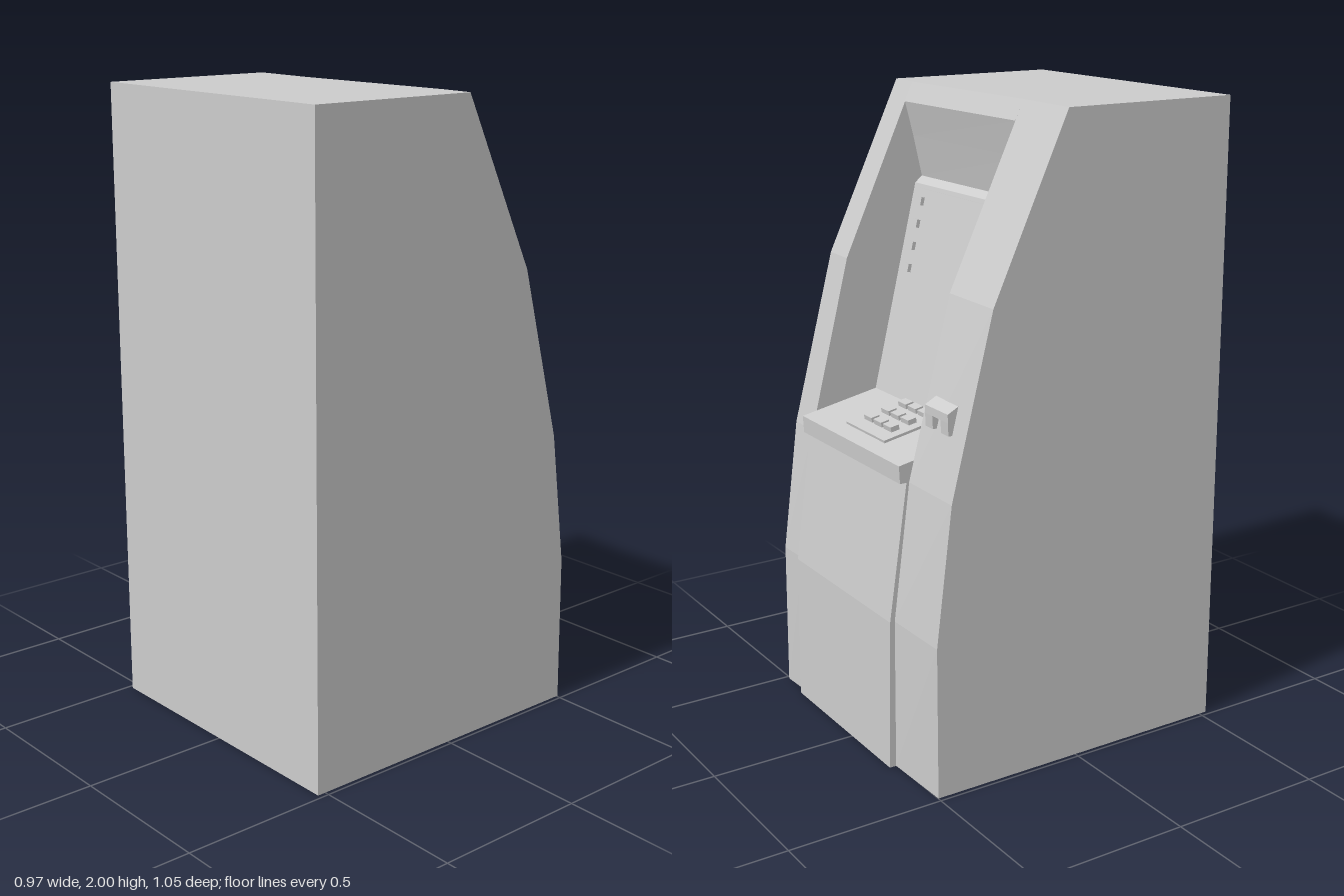
import * as THREE from 'three';

const grey = new THREE.MeshStandardMaterial({ color: 0xcccccc, flatShading: true });

function add(parent, name, geometry, x = 0, y = 0, z = 0) {
  const mesh = new THREE.Mesh(geometry, grey);
  mesh.name = name;
  mesh.position.set(x, y, z);
  parent.add(mesh);
  return mesh;
}

// Extrudes a [z, y] side profile between two x positions.
// skew0 / skew1 lean the front slightly at either end.
function slab(profile, x0, x1, skew0 = 0, skew1 = 0) {
  const shape = new THREE.Shape(profile.map(([z, y]) => new THREE.Vector2(z, y)));
  const g = new THREE.ExtrudeGeometry(shape, { depth: x1 - x0, bevelEnabled: false });
  g.rotateY(-Math.PI / 2).translate(x1, 0, 0);
  const p = g.attributes.position;
  for (let i = 0; i < p.count; i++) {
    if (p.getZ(i) > 0.5) continue;
    const t = (p.getX(i) - x0) / (x1 - x0);
    const skew = skew0 + (skew1 - skew0) * t;
    p.setZ(i, p.getZ(i) + skew * (-0.006 + 0.0085 * p.getY(i)));
  }
  g.computeVertexNormals();
  return g;
}

export function createModel() {
  const model = new THREE.Group();
  model.name = 'cashMachine';
  const left = -0.245, right = 0.365, side = 0.485, back = 0.527;

  // Side columns with the faceted, backward leaning front
  const column = [[back, 0], [back, 2], [-0.056, 2], [-0.306, 1.46], [-0.446, 0.91], [-0.499, 0.48], [-0.499, 0]];
  add(model, 'wideColumn', slab(column, -side, left, 0, 1));
  add(model, 'narrowColumn', slab(column, right, side, 0, 1));

  // Middle section: header, recess ceiling, screen wall, shelf with lip, lower door
  const middle = [
    [back, 0], [back, 2], [-0.056, 2], [-0.084, 1.94],
    [-0.055, 1.83], [-0.025, 1.7], [-0.05, 1.68], [-0.211, 1.017],
    [-0.48, 0.965], [-0.477, 0.91], [-0.455, 0.91], [-0.515, 0.48], [-0.521, 0],
  ];
  add(model, 'middleSection', slab(middle, left, right, 1, 0));

  // Screen, lying on the sloping back wall of the recess
  const screen = new THREE.Group();
  screen.name = 'screen';
  screen.position.set(0, 1.017, -0.211);
  screen.rotation.x = Math.atan2(0.161, 0.663);
  model.add(screen);
  add(screen, 'screenPanel', new THREE.BoxGeometry(0.545, 0.335, 0.016), 0.0525, 0.502, 0);
  for (const x of [-0.186, 0.292])
    for (let i = 0; i < 4; i++)
      add(screen, 'screenButton', new THREE.BoxGeometry(0.028, 0.026, 0.014), x, 0.414 + i * 0.072, -0.013);

  // Keypad on the sloping shelf
  const keypad = new THREE.Group();
  keypad.name = 'keypad';
  keypad.position.set(0.06, 1.017, -0.211);
  keypad.rotation.x = -Math.atan2(0.052, 0.269);
  model.add(keypad);
  add(keypad, 'keypadPlate', new THREE.BoxGeometry(0.24, 0.016, 0.212), 0, 0, -0.107);
  for (let row = 0; row < 3; row++)
    for (let col = -1; col <= 1; col++)
      add(keypad, 'key', new THREE.BoxGeometry(0.048, 0.02, 0.029), col * 0.06, 0.014, -0.026 - row * 0.0625);

  // Card reader: a hood on two cheeks, open below in the middle
  const reader = new THREE.Group();
  reader.name = 'cardReader';
  model.add(reader);
  const hood = [[-0.35, 1.135], [-0.35, 1.175], [-0.376, 1.175], [-0.414, 1.155], [-0.414, 1.13]];
  const cheek = [[-0.35, 1.09], [-0.35, 1.135], [-0.414, 1.13], [-0.412, 1.09]];
  add(reader, 'readerHood', slab(hood, -0.415, -0.29));
  add(reader, 'readerCheek', slab(cheek, -0.415, -0.375));
  add(reader, 'readerCheek', slab(cheek, -0.33, -0.29));

  return model;
}
